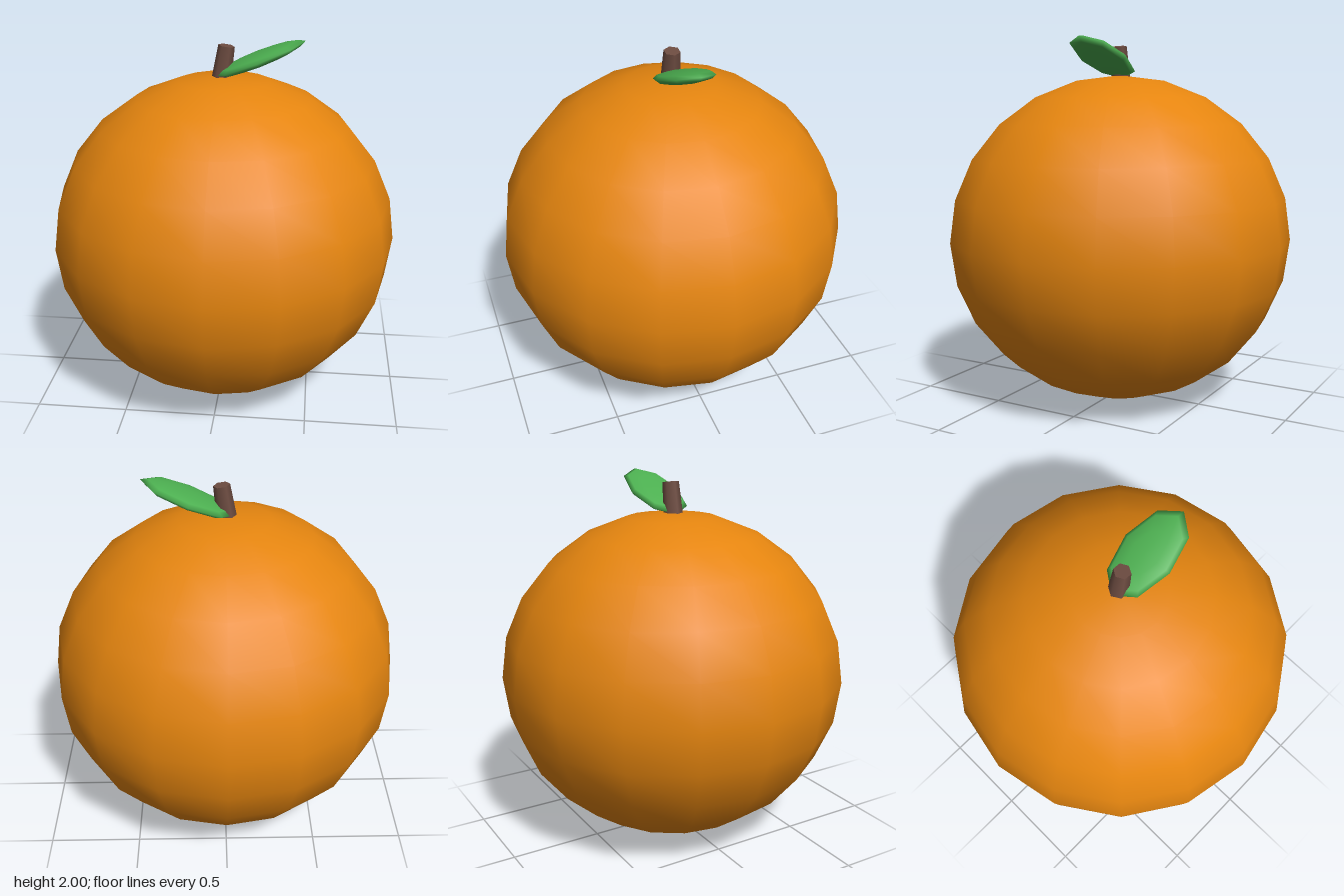
import * as THREE from 'three';

const material = (name, color) => {
  const m = new THREE.MeshStandardMaterial({ color });
  m.name = name;
  return m;
};

export function createModel() {
  const model = new THREE.Group();
  model.name = 'orangeFruit';

  const add = (name, geometry, mat, position, tilt) => {
    const mesh = new THREE.Mesh(geometry, mat);
    mesh.name = name;
    mesh.position.set(...position);
    mesh.rotation.z = tilt;
    model.add(mesh);
  };

  // Slightly flattened round fruit
  const fruit = new THREE.SphereGeometry(0.95, 16, 12).scale(1, 0.95, 1);
  add('fruit', fruit, material('orange peel', 0xe5850f), [0, 0.906, 0], 0);

  // Tapered six-sided stem leaning toward the leaf
  const stem = new THREE.CylinderGeometry(0.044, 0.054, 0.2, 6).rotateY(Math.PI / 6);
  add('stem', stem, material('stem brown', 0x6d4c41), [0, 1.865, 0], -0.15);

  // Flat oval leaf rising to the model's left
  const leaf = new THREE.SphereGeometry(1, 8, 6).scale(0.262, 0.036, 0.145);
  add('leaf', leaf, material('leaf green', 0x4caf50), [0.185, 1.898, 0], 0.39);

  return model;
}
